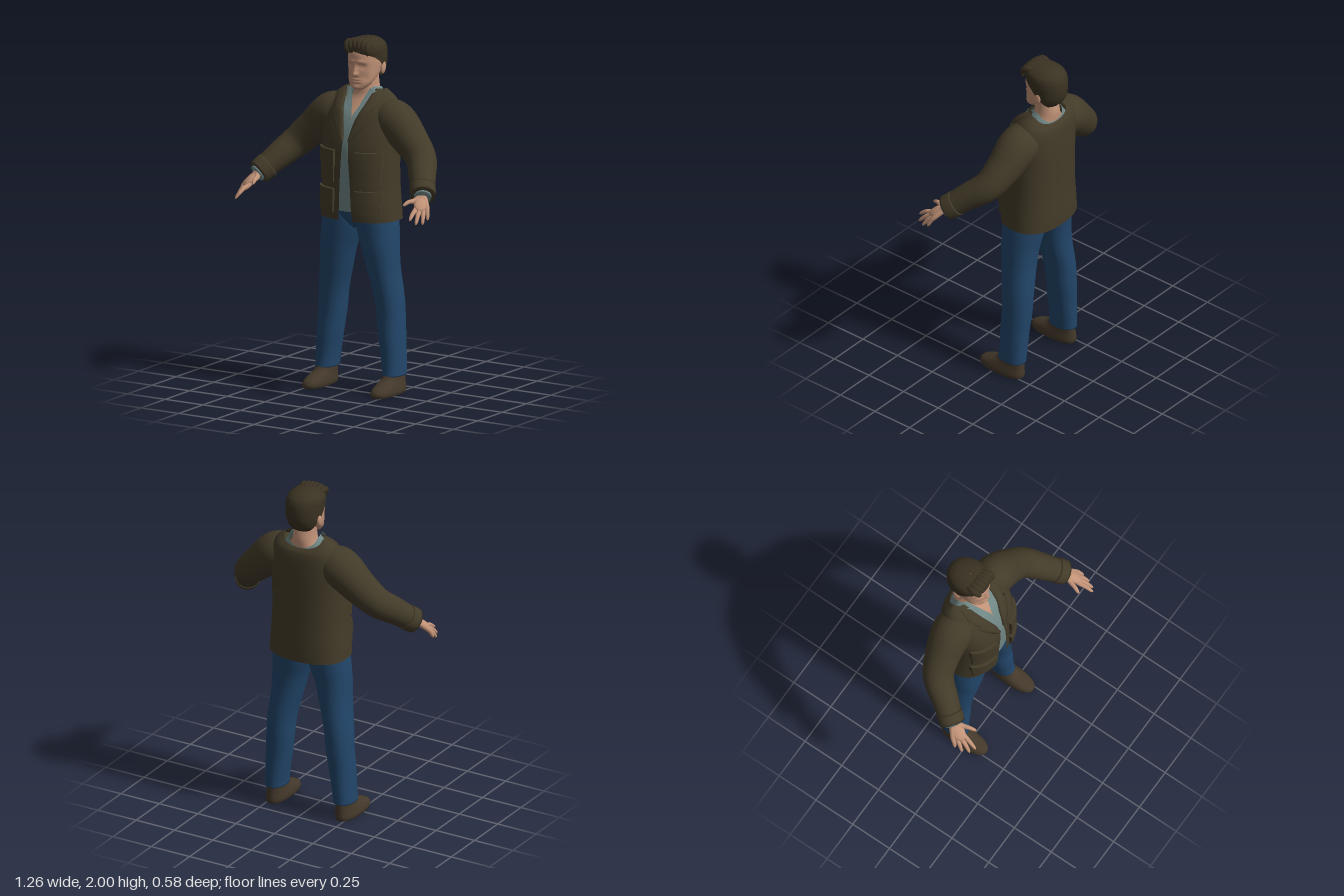
import * as THREE from 'three';
import { mergeVertices } from 'three/addons/utils/BufferGeometryUtils.js';

const V = (x, y, z) => new THREE.Vector3(x, y, z);
const mat = (name, color, side = THREE.FrontSide) => {
  const m = new THREE.MeshStandardMaterial({ color, side });
  m.name = name;
  return m;
};

// Surface through a list of rings (arrays of points), optionally open or capped
function loft(rings, closed = true, caps = true) {
  const n = rings[0].length, last = rings.length - 1, pos = [], idx = [];
  rings.forEach(r => r.forEach(p => pos.push(p.x, p.y, p.z)));
  for (let i = 0; i < last; i++) for (let j = 0; j < (closed ? n : n - 1); j++) {
    const a = i * n + j, b = i * n + (j + 1) % n;
    idx.push(a, b, b + n, a, b + n, a + n);
  }
  if (closed && caps) for (const i of [0, last]) {
    const c = rings[i].reduce((s, p) => s.add(p), V(0, 0, 0)).divideScalar(n);
    const k = pos.length / 3;
    pos.push(c.x, c.y, c.z);
    for (let j = 0; j < n; j++) {
      const a = i * n + j, b = i * n + (j + 1) % n;
      if (i) idx.push(a, b, k); else idx.push(b, a, k);
    }
  }
  const g = new THREE.BufferGeometry();
  g.setAttribute('position', new THREE.Float32BufferAttribute(pos, 3));
  g.setIndex(idx);
  g.computeVertexNormals();
  return g;
}

// Smooth in-between rows (Catmull-Rom on every column)
function smooth(rows, n = 6) {
  const out = [], at = i => rows[Math.min(Math.max(i, 0), rows.length - 1)];
  for (let i = 0; i < rows.length - 1; i++) for (let k = 0; k < n; k++) {
    const t = k / n;
    out.push(rows[i].map((b, c) => {
      const a = at(i - 1)[c], d = at(i + 1)[c], e = at(i + 2)[c];
      return b + 0.5 * t * (d - a + t * (2 * a - 5 * b + 4 * d - e + t * (3 * (b - d) + e - a)));
    }));
  }
  out.push(rows.at(-1));
  return out;
}

// Horizontal ring from a row [y, centreX, halfWidth, frontZ, backZ, openingAngle, backDrop]
function ring([y, cx, w, zf, zb, a0, drop = 0], p, n, open) {
  const c = (zf + zb) / 2, d = (zf - zb) / 2, pts = [];
  const start = open ? Math.max(a0, 0) : 0;
  const pow = v => Math.sign(v) * Math.abs(v) ** (2 / p);
  for (let j = 0; j < n; j++) {
    const a = start + (2 * Math.PI - 2 * start) * j / (open ? n - 1 : n);
    const z = c + d * pow(Math.cos(a));
    pts.push(V(cx + w * pow(Math.sin(a)), y - drop * Math.max(0, (c - z) / d), z));
  }
  return pts;
}
const stack = (rows, p = 2.2, n = 40, open = false) =>
  loft(rows.map(r => ring(r, p, n, open)), !open);

// Round limb along a path with a radius at each point
function limb(points, radii, steps = 24, n = 20, round = false) {
  const curve = new THREE.CatmullRomCurve3(points.map(p => V(...p)));
  const f = curve.computeFrenetFrames(steps), rad = smooth(radii.map(r => [r]), 16);
  const rings = [];
  for (let i = 0; i <= steps; i++) {
    const t = i / steps, c = curve.getPointAt(t);
    let r = rad[Math.round(curve.getUtoTmapping(t) * (rad.length - 1))][0];
    if (round && t > 0.88) r *= Math.sqrt(1 - 0.92 * ((t - 0.88) / 0.12) ** 2);
    rings.push(Array.from({ length: n }, (_, j) => {
      const a = j / n * 2 * Math.PI;
      return c.clone().addScaledVector(f.normals[i], r * Math.cos(a)).addScaledVector(f.binormals[i], r * Math.sin(a));
    }));
  }
  return loft(rings);
}

function mirrored(geo) {
  const g = geo.index ? geo.clone() : mergeVertices(geo);
  g.applyMatrix4(new THREE.Matrix4().makeScale(-1, 1, 1));
  const ix = g.index.array;
  for (let i = 0; i < ix.length; i += 3) [ix[i], ix[i + 1]] = [ix[i + 1], ix[i]];
  return g;
}

export function createModel() {
  const root = new THREE.Group();
  root.name = 'man';
  const olive = mat('jacketOlive', 0x433b29, THREE.DoubleSide);
  const teal = mat('shirtTeal', 0x708786, THREE.DoubleSide);
  const denim = mat('denimBlue', 0x22466a);
  const skin = mat('skin', 0xc19277);
  const brown = mat('hairBrown', 0x3a3222, THREE.DoubleSide);
  const leather = mat('shoeBrown', 0x43382a);
  const add = (name, geo, m) => {
    const mesh = new THREE.Mesh(geo, m);
    mesh.name = name;
    root.add(mesh);
  };
  const pair = (name, geo, m) => {
    add(name + 'Left', geo, m);
    add(name + 'Right', mirrored(geo), m);
  };
  const bell = (v, s) => Math.exp(-v * v / (s * s));

  // Jacket body: column 5 is half the front opening, turned into an angle
  const P = 2.4;
  const jacketRows = smooth([
    [0.98, 0, 0.236, 0.062, -0.28, 0.046, 0.006], [1.05, 0, 0.231, 0.068, -0.28, 0.04, 0],
    [1.2, 0, 0.222, 0.07, -0.275, 0.033, 0], [1.37, 0, 0.222, 0.07, -0.275, 0.022, 0],
    [1.47, 0, 0.225, 0.05, -0.275, 0.02, 0], [1.55, 0, 0.222, 0.02, -0.272, 0.04, 0],
    [1.61, 0, 0.212, -0.01, -0.268, 0.06, 0.01], [1.66, 0, 0.188, -0.055, -0.262, 0.075, 0.03],
    [1.69, 0, 0.158, -0.09, -0.255, 0.083, 0.045], [1.71, 0, 0.12, -0.12, -0.242, 0.088, 0.05],
  ]);
  const opened = rows => rows.map(r => r.with(5, Math.asin(Math.min(1, Math.max(0, r[5]) / r[2]) ** (P / 2))));
  add('jacketBody', stack(opened(jacketRows), P, 72, true), olive);

  // Height of the jacket front at any x, y
  const frontZ = (x, y) => {
    let i = jacketRows.findIndex(r => r[0] >= y);
    if (i < 0) i = jacketRows.length - 1;
    i = Math.max(i, 1);
    const a = jacketRows[i - 1], b = jacketRows[i], t = Math.min(1, Math.max(0, (y - a[0]) / (b[0] - a[0])));
    const [, , w, zf, zb] = a.map((v, k) => v + (b[k] - v) * t);
    const u = Math.min(Math.abs(x) / w, 0.99);
    return (zf + zb) / 2 + (zf - zb) / 2 * (1 - u ** P) ** (1 / P);
  };

  // Collar and lapels: raised panels between an inner and an outer edge
  const panel = (inner, outer, lift) => {
    const A = smooth(inner, 5), B = smooth(outer, 5);
    const cols = [[0, -0.004], [0, lift], [0.33, lift], [0.67, lift], [1, lift], [1, -0.004]];
    return loft(A.map((a, i) => cols.map(([u, h]) => {
      const x = a[0] + (B[i][0] - a[0]) * u, y = a[1] + (B[i][1] - a[1]) * u;
      return V(x, y, frontZ(x, y) + h);
    })).reverse(), false);
  };
  pair('jacketCollar', panel([[0.086, 1.712], [0.074, 1.64], [0.055, 1.59]], [[0.122, 1.708], [0.138, 1.65], [0.118, 1.605]], 0.014), olive);
  pair('lapel', panel([[0.055, 1.59], [0.038, 1.54], [0.018, 1.44]], [[0.132, 1.592], [0.1, 1.53], [0.028, 1.43]], 0.012), olive);

  // Pockets and flaps follow the jacket front
  const pocket = (x0, x1, y0, y1, t) => {
    const g = new THREE.BoxGeometry(x1 - x0, y1 - y0, t, 8, 4, 1).translate((x0 + x1) / 2, (y0 + y1) / 2, 0);
    const p = g.attributes.position;
    for (let i = 0; i < p.count; i++) p.setZ(i, p.getZ(i) + frontZ(p.getX(i), p.getY(i)));
    g.computeVertexNormals();
    return g;
  };
  pair('chestPocket', pocket(0.072, 0.198, 1.195, 1.33, 0.026), olive);
  pair('chestPocketFlap', pocket(0.065, 0.204, 1.29, 1.382, 0.042), olive);
  pair('hipPocket', pocket(0.075, 0.2, 1.025, 1.12, 0.026), olive);
  pair('hipPocketFlap', pocket(0.068, 0.206, 1.09, 1.16, 0.042), olive);

  // Sleeves and cuffs
  pair('sleeve', limb([[0.12, 1.565, -0.13], [0.205, 1.542, -0.13], [0.32, 1.445, -0.115], [0.41, 1.36, -0.08],
    [0.48, 1.28, 0.015], [0.538, 1.207, 0.1]], [0.1, 0.116, 0.1, 0.087, 0.076, 0.066], 40, 32), olive);
  pair('sleeveCuff', limb([[0.513, 1.238, 0.063], [0.53, 1.217, 0.088], [0.544, 1.2, 0.109]], [0.073, 0.073, 0.071], 6, 32), olive);
  pair('shirtCuff', limb([[0.53, 1.217, 0.09], [0.54, 1.204, 0.105], [0.549, 1.193, 0.12]], [0.05, 0.05, 0.048], 6, 28), teal);

  // Shirt, open at the neck
  add('shirt', stack(opened(smooth([
    [1.03, 0, 0.19, 0.045, -0.24, 0, 0], [1.2, 0, 0.19, 0.052, -0.24, 0, 0], [1.37, 0, 0.19, 0.053, -0.24, 0, 0],
    [1.47, 0, 0.19, 0.034, -0.24, 0, 0], [1.56, 0, 0.18, 0, -0.24, 0.001, 0], [1.62, 0, 0.155, -0.042, -0.24, 0.024, 0.01],
    [1.67, 0, 0.12, -0.078, -0.24, 0.045, 0.04], [1.7, 0, 0.1, -0.098, -0.238, 0.058, 0.05], [1.72, 0, 0.088, -0.11, -0.236, 0.062, 0.06],
  ])), P, 56, true), teal);
  // Shirt collar points beside the opening
  pair('shirtCollar', loft([
    [V(0.026, 1.605, -0.018), V(0.05, 1.6, -0.012), V(0.06, 1.62, -0.026)],
    [V(0.04, 1.655, -0.055), V(0.062, 1.65, -0.05), V(0.08, 1.66, -0.06)],
    [V(0.062, 1.718, -0.098), V(0.085, 1.712, -0.096), V(0.1, 1.7, -0.11)],
  ], false), teal);

  // Neck and upper chest
  add('neck', stack(smooth([
    [1.5, 0, 0.15, 0.005, -0.2], [1.56, 0, 0.15, -0.016, -0.21], [1.62, 0, 0.12, -0.06, -0.23],
    [1.67, 0, 0.08, -0.092, -0.237], [1.72, 0, 0.066, -0.1, -0.237], [1.8, 0, 0.063, -0.11, -0.22],
  ]), 2.1, 40), skin);

  // Head, with the features pushed out of or into the face
  const head = stack(smooth([
    [1.71, 0, 0.026, -0.052, -0.09], [1.722, 0, 0.046, -0.044, -0.12], [1.75, 0, 0.069, -0.042, -0.155],
    [1.78, 0, 0.081, -0.042, -0.2], [1.82, 0, 0.089, -0.043, -0.25], [1.87, 0, 0.093, -0.042, -0.265],
    [1.92, 0, 0.091, -0.048, -0.27], [1.96, 0, 0.07, -0.075, -0.245], [1.98, 0, 0.03, -0.12, -0.2],
  ], 8), 2.2, 120);
  const hp = head.attributes.position;
  for (let i = 0; i < hp.count; i++) {
    const x = hp.getX(i), y = hp.getY(i), z = hp.getZ(i), ax = Math.abs(x);
    if (z < -0.11) continue;
    const ridge = y > 1.8 ? Math.max(0, 1 - (y - 1.8) / 0.065) : bell(y - 1.8, 0.01);
    hp.setZ(i, z + 0.025 * ridge * bell(x, 0.014 - 0.004 * ridge + (y < 1.81 ? 0.004 : 0))
      - 0.012 * bell(ax - 0.036, 0.02) * bell(y - 1.845, 0.014)
      + 0.005 * bell(ax - 0.036, 0.014) * bell(y - 1.844, 0.007)
      + 0.006 * bell(ax - 0.03, 0.03) * bell(y - 1.871, 0.01)
      + 0.007 * bell(x, 0.026) * (bell(y - 1.771, 0.006) + bell(y - 1.756, 0.006))
      + 0.008 * bell(x, 0.025) * bell(y - 1.726, 0.014)
      - 0.006 * bell(ax - 0.055, 0.02) * bell(y - 1.78, 0.025));
  }
  head.computeVertexNormals();
  add('head', head, skin);
  pair('ear', new THREE.SphereGeometry(1, 16, 12).scale(0.012, 0.036, 0.021).rotateX(-0.2).translate(0.097, 1.825, -0.178), skin);

  // Hair cap with an open face, and swept locks at the fringe
  add('hair', loft(smooth([
    [1.765, 0, 0.07, -0.1, -0.245, 2.2], [1.79, 0, 0.088, -0.08, -0.268, 1.95], [1.83, 0, 0.099, -0.06, -0.285, 1.6],
    [1.87, 0, 0.103, -0.05, -0.29, 1.3], [1.9, 0, 0.105, -0.045, -0.29, 0.9], [1.92, 0, 0.105, -0.037, -0.288, 0.3],
    [1.935, 0, 0.104, -0.035, -0.285, 0], [1.96, 0, 0.095, -0.038, -0.272, 0], [1.982, 0, 0.069, -0.06, -0.24, 0],
    [1.993, 0, 0.035, -0.1, -0.2, 0], [1.996, 0, 0.002, -0.148, -0.152, 0],
  ]).map(r => ring(r, 2.1, 72, true)), false), brown);
  for (let i = 0; i < 6; i++) {
    const x = -0.075 + i * 0.026, h = 0.012 * Math.sin(i * 0.62);
    add('fringeLock' + (i + 1), limb([[x * 0.8, 1.963 + h, -0.14], [x + 0.006, 1.968 + h, -0.08],
      [x + 0.014, 1.948 + h, -0.052], [x + 0.02, 1.908 + h, -0.052]], [0.014, 0.021, 0.018, 0.008], 16, 12, true), brown);
  }

  // Hands: palm, four fingers and thumb
  const len = V(0.25, -0.5, 0.8).normalize(), wide = V(-0.05, 0, 0.055);
  wide.addScaledVector(len, -wide.dot(len)).normalize();
  pair('palm', new THREE.SphereGeometry(1, 20, 14).scale(0.04, 0.02, 0.062)
    .applyMatrix4(new THREE.Matrix4().makeBasis(wide, len.clone().cross(wide), len).setPosition(0.562, 1.168, 0.155)), skin);
  const fingers = {
    indexFinger: [[0.555, 1.14, 0.2], [0.57, 1.096, 0.285]],
    middleFinger: [[0.573, 1.135, 0.19], [0.598, 1.072, 0.265]],
    ringFinger: [[0.588, 1.135, 0.172], [0.617, 1.068, 0.225]],
    littleFinger: [[0.6, 1.145, 0.152], [0.623, 1.085, 0.182]],
    thumb: [[0.522, 1.18, 0.165], [0.497, 1.163, 0.24]],
  };
  for (const [name, [k, tip]] of Object.entries(fingers)) {
    const mid = k.map((v, c) => (v + tip[c]) / 2 + (c === 1 ? 0.008 : 0));
    pair(name, limb([[0.545, 1.203, 0.11], k, mid, tip], [0.02, 0.015, 0.012, 0.009], 20, 12, true), skin);
  }

  // Jeans
  add('jeansSeat', stack(smooth([
    [0.925, 0, 0.03, -0.03, -0.15], [0.965, 0, 0.1, 0.004, -0.2], [1.02, 0, 0.2, 0.024, -0.217], [1.1, 0, 0.2, 0.02, -0.22],
  ])), denim);
  pair('jeansLeg', stack(smooth([
    [0.1, 0.2225, 0.059, -0.014, -0.186], [0.17, 0.217, 0.062, -0.02, -0.188], [0.3, 0.205, 0.07, -0.02, -0.192],
    [0.42, 0.193, 0.075, -0.024, -0.2], [0.545, 0.182, 0.079, -0.014, -0.201], [0.7, 0.155, 0.09, 0.006, -0.194],
    [0.81, 0.138, 0.102, 0.018, -0.197], [0.92, 0.117, 0.117, 0.021, -0.212], [1, 0.108, 0.118, 0.02, -0.222], [1.1, 0.105, 0.11, 0.015, -0.22],
  ]), 2.2, 40), denim);

  // Shoes
  pair('shoe', stack(smooth([
    [0, 0.226, 0.055, 0.112, -0.176], [0.018, 0.226, 0.06, 0.12, -0.181], [0.042, 0.225, 0.057, 0.105, -0.18],
    [0.062, 0.224, 0.052, 0.062, -0.178], [0.088, 0.223, 0.047, 0, -0.176], [0.13, 0.222, 0.045, -0.03, -0.17],
  ], 4), 2.4, 40), leather);
  return root;
}
